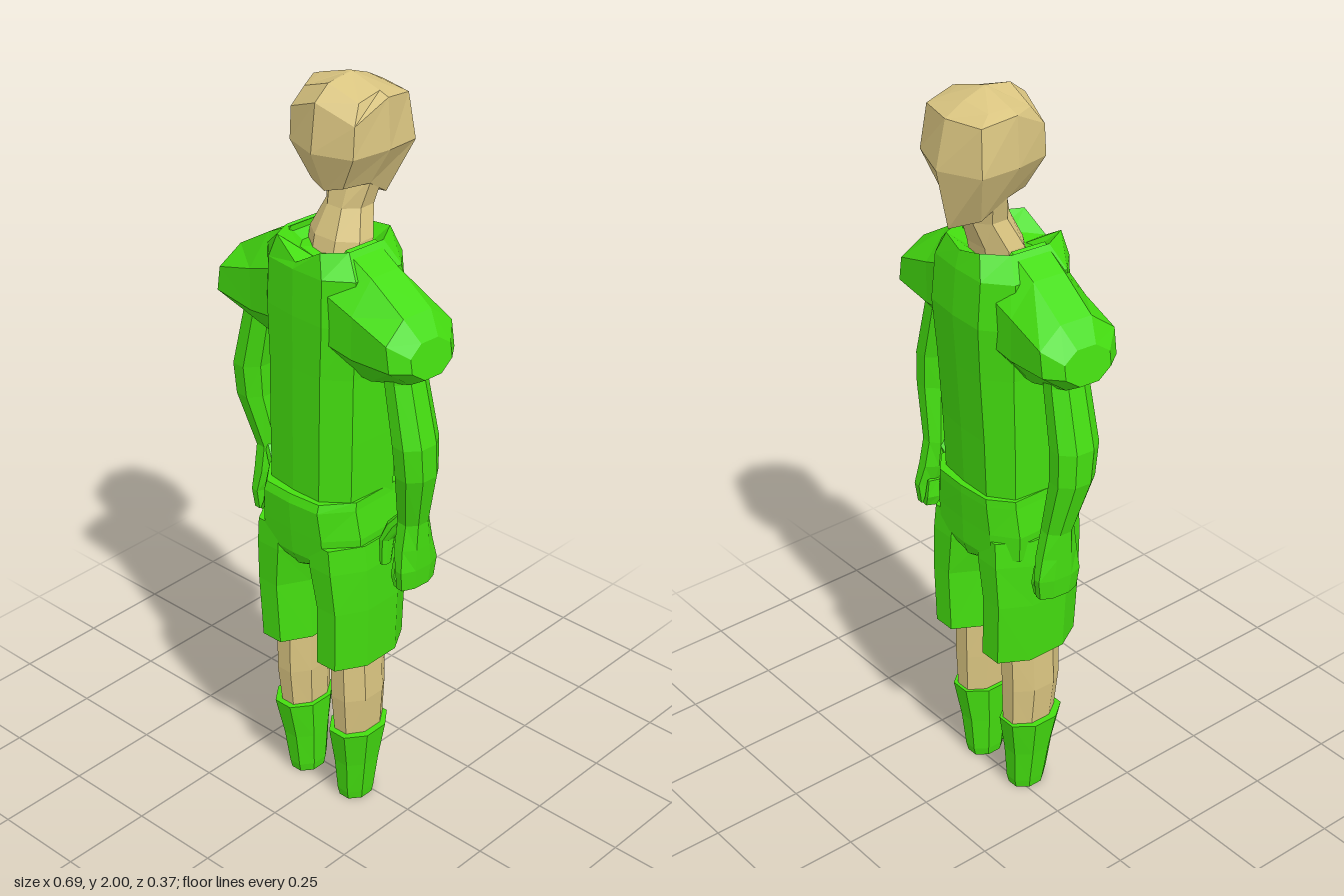
import * as THREE from 'three';

const green = new THREE.MeshStandardMaterial({ color: 0x44dd10 });
green.name = 'kit green';
const skin = new THREE.MeshStandardMaterial({ color: 0xd9c480 });
skin.name = 'skin tan';

// Closed faceted solid through a stack of rings; winding is corrected to face outward
function loft(rings) {
  const tris = [];
  const n = rings[0].length;
  for (let r = 0; r < rings.length - 1; r++) {
    for (let i = 0; i < n; i++) {
      const j = (i + 1) % n, a = rings[r], b = rings[r + 1];
      tris.push([a[i], a[j], b[j]], [a[i], b[j], b[i]]);
    }
  }
  const cap = (ring, flip) => {
    const c = [0, 1, 2].map(k => ring.reduce((s, p) => s + p[k], 0) / n);
    ring.forEach((p, i) => {
      const q = ring[(i + 1) % n];
      tris.push(flip ? [c, q, p] : [c, p, q]);
    });
  };
  cap(rings[0], true);
  cap(rings[rings.length - 1], false);
  const V = p => new THREE.Vector3(...p);
  const volume = tris.reduce((s, [a, b, c]) => s + V(a).dot(V(b).cross(V(c))), 0);
  if (volume < 0) tris.forEach(t => t.reverse());
  const g = new THREE.BufferGeometry();
  g.setAttribute('position', new THREE.Float32BufferAttribute(tris.flat(2), 3));
  g.computeVertexNormals();
  return g;
}

// Full ring from a half outline running front centre -> +x side -> back centre
function mirrorRing(half) {
  const other = half.slice(1, -1).reverse().map(([x, y, z]) => [-x, y, z]);
  return [...half, ...other];
}

// Level half outline: half width, front z, back z
const bodyRing = (y, w, f, b) => mirrorRing([
  [0, y, f], [w * 0.6, y, f - 0.006], [w, y, f * 0.55],
  [w, y, b * 0.55], [w * 0.62, y, b + 0.006], [0, y, b],
]);

// Level eight-sided ring with flat front and sides; rx and rz are half extents
function oval([x, y, z, rx, rz]) {
  const k = 1 / Math.cos(Math.PI / 8);
  return Array.from({ length: 8 }, (_, i) => {
    const a = (i + 0.5) * Math.PI / 4;
    return [x + rx * k * Math.sin(a), y, z + rz * k * Math.cos(a)];
  });
}

// Upright eight-sided ring across the sleeve
function sleeveRing([x, y, ry, rz, lean]) {
  const k = 1 / Math.cos(Math.PI / 8);
  return Array.from({ length: 8 }, (_, i) => {
    const a = (i + 0.5) * Math.PI / 4;
    return [x - lean * Math.sin(a), y + ry * k * Math.sin(a), rz * k * Math.cos(a)];
  });
}

function add(parent, name, rings, material, side = 1) {
  const placed = rings.map(r => r.map(([x, y, z]) => [x * side, y, z]));
  const mesh = new THREE.Mesh(loft(placed), material);
  mesh.name = name;
  parent.add(mesh);
}

export function createModel() {
  const model = new THREE.Group();
  model.name = 'footballer';

  // Head: angular skull, lower at the back
  add(model, 'head', [
    [[0, 1.73, 0.05], [0.05, 1.745, 0.04], [0.072, 1.745, -0.03], [0.06, 1.70, -0.10], [0, 1.675, -0.15]],
    [[0, 1.835, 0.095], [0.1, 1.835, 0.06], [0.125, 1.84, -0.04], [0.115, 1.835, -0.14], [0, 1.83, -0.183]],
    [[0, 1.955, 0.08], [0.1, 1.915, 0.055], [0.117, 1.965, -0.04], [0.1, 1.95, -0.13], [0, 1.95, -0.155]],
    [[0, 1.99, 0.035], [0.085, 1.96, 0.025], [0.09, 1.975, -0.04], [0.075, 1.968, -0.09], [0, 1.98, -0.1]],
    [[0, 2.0, -0.035], [0.005, 2.0, -0.037], [0.007, 2.0, -0.04], [0.005, 2.0, -0.043], [0, 2.0, -0.045]],
  ].map(mirrorRing), skin);

  // Neck leans backward as it rises
  add(model, 'neck', [
    [0, 1.56, 0, 0.08, 0.06], [0, 1.61, -0.01, 0.08, 0.058],
    [0, 1.68, -0.04, 0.055, 0.055], [0, 1.76, -0.055, 0.075, 0.05],
  ].map(oval), skin);

  // Upper body is turned slightly about the vertical
  const upper = new THREE.Group();
  upper.name = 'upperBody';
  upper.position.z = 0.02;
  upper.rotation.y = -0.08;
  model.add(upper);

  // Shirt with a notched collar
  add(upper, 'shirt', [
    bodyRing(0.94, 0.145, 0.135, -0.122),
    bodyRing(1.12, 0.148, 0.134, -0.13),
    bodyRing(1.3, 0.15, 0.132, -0.142),
    bodyRing(1.44, 0.16, 0.132, -0.152),
    bodyRing(1.56, 0.155, 0.128, -0.142),
    mirrorRing([[0, 1.575, 0.12], [0.075, 1.62, 0.11], [0.11, 1.615, 0.05],
      [0.11, 1.615, -0.06], [0.07, 1.62, -0.12], [0, 1.605, -0.13]]),
    mirrorRing([[0, 1.57, 0.06], [0.05, 1.58, 0.06], [0.075, 1.58, 0.03],
      [0.075, 1.58, -0.04], [0.05, 1.58, -0.07], [0, 1.58, -0.08]]),
  ], green);

  for (const [side, label] of [[1, 'left'], [-1, 'right']]) {
    // Puffed short sleeve
    add(upper, label + 'Sleeve', [
      [0.095, 1.46, 0.155, 0.115, 0], [0.18, 1.437, 0.134, 0.108, 0],
      [0.3, 1.425, 0.08, 0.107, 0.014], [0.337, 1.408, 0.045, 0.065, 0.008],
    ].map(sleeveRing), green, side);

    // Bowed arm running into the palm
    add(upper, label + 'Arm', [
      [0.25, 1.42, 0, 0.04, 0.055], [0.253, 1.33, 0, 0.042, 0.055],
      [0.29, 1.17, 0, 0.046, 0.06], [0.291, 1.08, -0.005, 0.045, 0.055],
      [0.262, 0.93, -0.025, 0.035, 0.04], [0.262, 0.86, -0.027, 0.034, 0.052],
      [0.27, 0.8, -0.03, 0.025, 0.062], [0.268, 0.745, -0.03, 0.022, 0.055],
    ].map(oval), green, side);

    // Curled fingers and thumb
    add(upper, label + 'Fingers', [
      [0.252, 0.743, -0.03, 0.02, 0.05], [0.24, 0.772, -0.03, 0.014, 0.052],
      [0.24, 0.82, -0.03, 0.009, 0.045],
    ].map(oval), green, side);
    add(upper, label + 'Thumb', [
      [0.203, 0.79, 0.01, 0.01, 0.016], [0.202, 0.86, 0.005, 0.014, 0.022],
      [0.222, 0.905, -0.01, 0.022, 0.028], [0.248, 0.94, -0.02, 0.018, 0.028],
    ].map(oval), green, side);

    // Leg of the shorts
    add(model, label + 'ShortsLeg', [
      [0.096, 0.475, 0.023, 0.074, 0.129], [0.102, 0.65, 0.025, 0.074, 0.133],
      [0.09, 0.77, 0.028, 0.085, 0.139], [0.085, 0.84, 0.03, 0.083, 0.138],
    ].map(oval), green, side);

    // Shin and knee
    add(model, label + 'Leg', [
      [0.095, 0.22, 0.025, 0.048, 0.07], [0.097, 0.35, 0.03, 0.056, 0.078],
      [0.095, 0.465, 0.03, 0.053, 0.08], [0.095, 0.5, 0.03, 0.05, 0.078],
    ].map(oval), skin, side);

    // Sock tapering to the foot
    add(model, label + 'Sock', [
      [0.088, 0.005, 0.026, 0.038, 0.048], [0.088, 0.03, 0.026, 0.042, 0.054],
      [0.092, 0.13, 0.028, 0.052, 0.064], [0.098, 0.24, 0.03, 0.064, 0.084],
    ].map(oval), green, side);
  }

  // Shorts waist and hips
  add(model, 'shortsHips', [
    bodyRing(0.75, 0.03, 0.15, -0.1),
    bodyRing(0.79, 0.16, 0.17, -0.114),
    bodyRing(0.86, 0.163, 0.176, -0.116),
    bodyRing(0.94, 0.15, 0.182, -0.12),
    bodyRing(0.962, 0.148, 0.174, -0.12),
  ], green);

  return model;
}
